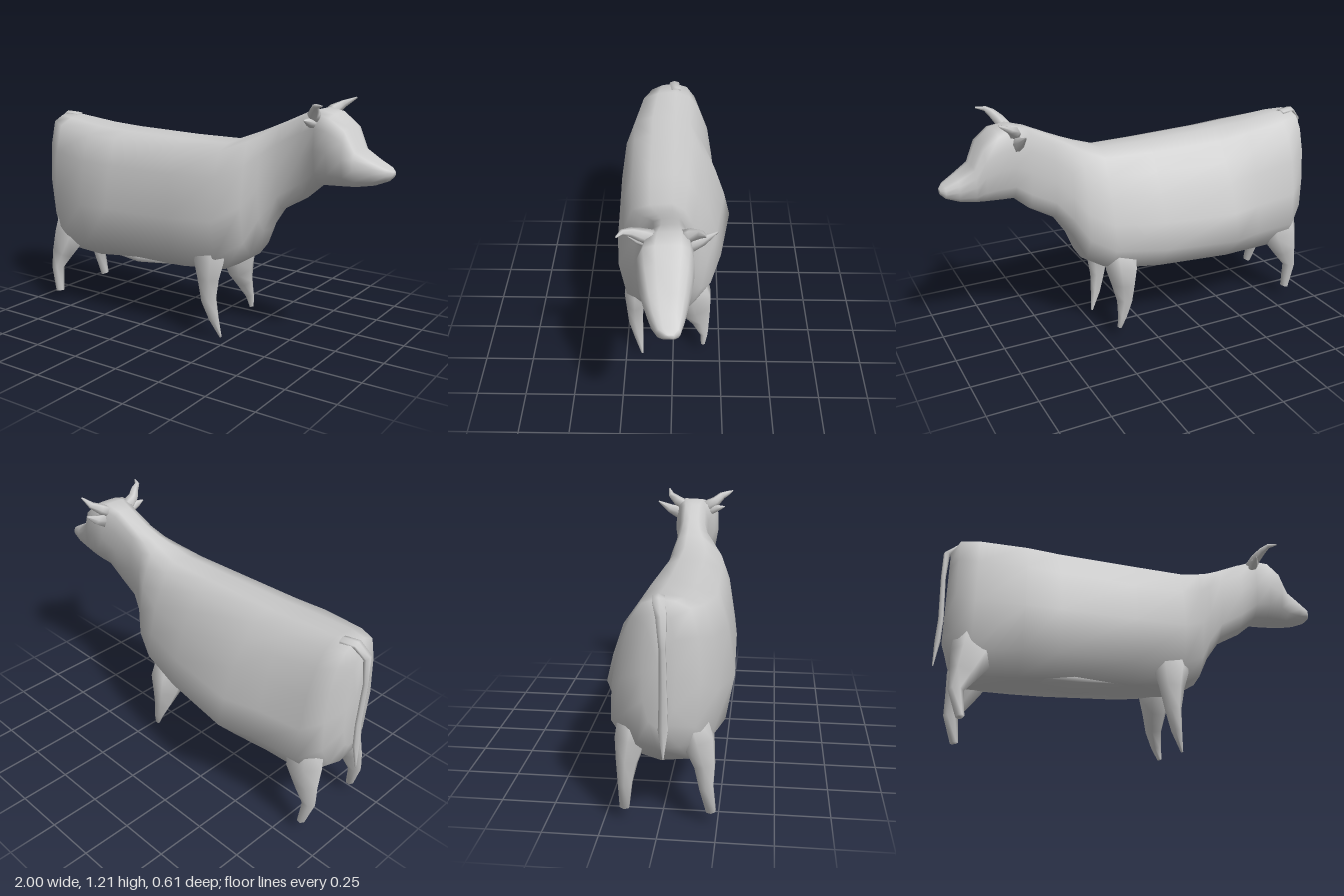
import * as THREE from 'three';

const material = new THREE.MeshStandardMaterial({ color: 0xcccccc, side: THREE.DoubleSide });
const V = (x, y, z) => new THREE.Vector3(x, y, z);

// Skin a list of equal-length rings of points, capping both ends
function loft(name, rings) {
  const n = rings[0].length, index = [], points = rings.flat();
  const at = (i, j) => i * n + (j % n);
  for (let i = 0; i < rings.length - 1; i++)
    for (let j = 0; j < n; j++) {
      const a = at(i, j), b = at(i, j + 1), c = at(i + 1, j + 1), d = at(i + 1, j);
      index.push(a, b, d, b, c, d);
    }
  [0, rings.length - 1].forEach((i, end) => {
    const centre = points.length;
    points.push(rings[i].reduce((s, p) => s.add(p), V(0, 0, 0)).divideScalar(n));
    for (let j = 0; j < n; j++)
      index.push(centre, ...(end ? [at(i, j), at(i, j + 1)] : [at(i, j + 1), at(i, j)]));
  });
  const g = new THREE.BufferGeometry().setFromPoints(points);
  g.setIndex(index);
  g.computeVertexNormals();
  const mesh = new THREE.Mesh(g, material);
  mesh.name = name;
  return mesh;
}

// Tapered limb: each path entry is x, y, z, radius across, radius along ref
function limb(name, path, ref = V(0, 0, 1), sides = 6) {
  const pts = path.map(p => V(p[0], p[1], p[2]));
  return loft(name, path.map((p, i) => {
    const t = pts[Math.min(i + 1, pts.length - 1)].clone().sub(pts[Math.max(i - 1, 0)]).normalize();
    const u = t.clone().cross(ref).normalize(), v = t.clone().cross(u);
    return Array.from({ length: sides }, (_, k) => {
      const a = k / sides * Math.PI * 2;
      return pts[i].clone().addScaledVector(u, Math.cos(a) * p[3]).addScaledVector(v, Math.sin(a) * (p[4] ?? p[3]));
    });
  }));
}

// Cross-section templates (side, height): lopsided trunk and rounder head
const trunk = [[0, 1], [0.4, 0.985], [0.72, 0.94], [0.88, 0.75], [1, 0.43], [0.87, 0.13], [0.5, 0.01],
  [0, 0], [-0.6, 0.06], [-1, 0.25], [-0.89, 0.45], [-0.72, 0.67], [-0.5, 0.81], [-0.3, 0.94]];
const round = [[0, 1], [0.45, 0.99], [0.8, 0.95], [0.98, 0.78], [1, 0.5], [0.88, 0.2], [0.5, 0.04],
  [0, 0], [-0.5, 0.04], [-0.85, 0.22], [-1, 0.5], [-0.98, 0.75], [-0.8, 0.95], [-0.45, 1]];

// Stations from rump to nose: x, top, bottom, +z reach, -z reach, roundness
const stations = [
  [-0.96, 1.0, 0.5, 0.08, 0.06, 0.5],
  [-0.92, 1.04, 0.38, 0.18, 0.16, 0.5],
  [-0.83, 1.035, 0.285, 0.245, 0.225, 0.3],
  [-0.6, 1.01, 0.29, 0.305, 0.245, 0.1],
  [-0.43, 1.0, 0.31, 0.3, 0.307, 0],
  [-0.05, 0.99, 0.32, 0.29, 0.25, 0],
  [0.2, 0.99, 0.345, 0.27, 0.19, 0],
  [0.32, 1.035, 0.42, 0.19, 0.145, 0.2],
  [0.38, 1.06, 0.55, 0.14, 0.1, 0.4],
  [0.46, 1.095, 0.67, 0.105, 0.075, 0.7],
  [0.58, 1.15, 0.74, 0.095, 0.075, 1],
  [0.66, 1.17, 0.81, 0.125, 0.095, 1],
  [0.73, 1.155, 0.815, 0.143, 0.1, 1],
  [0.8, 1.1, 0.82, 0.13, 0.09, 1],
  [0.845, 1.0, 0.825, 0.11, 0.075, 1],
  [0.92, 0.955, 0.84, 0.085, 0.06, 1],
  [0.98, 0.925, 0.865, 0.055, 0.045, 1],
  [1.0, 0.91, 0.885, 0.02, 0.02, 1],
];

export function createModel() {
  const cow = new THREE.Group();
  cow.name = 'cow';

  cow.add(loft('bodyAndHead', stations.map(([x, top, bottom, zp, zm, k]) =>
    trunk.map(([w, h], j) => {
      const s = THREE.MathUtils.lerp(w, round[j][0], k);
      const t = THREE.MathUtils.lerp(h, round[j][1], k);
      return V(x, bottom + t * (top - bottom), s * (s > 0 ? zp : zm));
    }))));

  // Legs, flaring out of the trunk and narrowing to a point
  cow.add(limb('frontLegNear', [[0.13, 0.6, 0.14, 0.1, 0.07], [0.14, 0.4, 0.195, 0.09, 0.062],
    [0.14, 0.31, 0.198, 0.064, 0.05], [0.145, 0.2, 0.197, 0.042, 0.042],
    [0.165, 0.1, 0.182, 0.028, 0.026], [0.195, 0, 0.165, 0.006]]));
  cow.add(limb('frontLegFar', [[0.13, 0.52, -0.06, 0.1, 0.09], [0.14, 0.37, -0.1, 0.085, 0.11],
    [0.14, 0.28, -0.118, 0.06, 0.09], [0.145, 0.2, -0.147, 0.042, 0.052],
    [0.165, 0.12, -0.165, 0.026, 0.022], [0.18, 0.06, -0.16, 0.012]]));
  for (const [name, z0, z1, z2] of [['hindLegNear', 0.12, 0.165, 0.222], ['hindLegFar', -0.1, -0.13, -0.16]])
    cow.add(limb(name, [[-0.79, 0.55, z0, 0.11, 0.08], [-0.815, 0.38, z1, 0.105, 0.075],
      [-0.85, 0.28, (z1 + z2) / 2, 0.068, 0.05], [-0.878, 0.19, (z1 + 2 * z2) / 3, 0.036, 0.034],
      [-0.85, 0.06, z2, 0.02, 0.024]]));

  // Tail arching off the rump and hanging behind it
  cow.add(limb('tail', [[-0.86, 1.03, 0.0, 0.015, 0.03], [-0.93, 1.035, 0.01, 0.016, 0.03],
    [-0.98, 0.985, 0.025, 0.016, 0.025], [-0.985, 0.85, 0.03, 0.012, 0.016],
    [-0.975, 0.62, 0.03, 0.013, 0.02], [-0.98, 0.5, 0.03, 0.014, 0.024], [-0.99, 0.37, 0.03, 0.003]]));

  // Belly fold under the trunk
  cow.add(limb('udder', [[-0.6, 0.33, 0.06, 0.02, 0.08], [-0.33, 0.325, 0.06, 0.04, 0.12],
    [0.06, 0.35, 0.06, 0.02, 0.08]]));

  // Horns curving outward, then forward
  const up = V(0, 1, 0);
  cow.add(limb('hornNear', [[0.65, 1.13, 0.08, 0.035], [0.66, 1.155, 0.13, 0.028],
    [0.685, 1.185, 0.165, 0.02], [0.705, 1.198, 0.2, 0.012], [0.745, 1.203, 0.22, 0.004]], up));
  cow.add(limb('hornFar', [[0.65, 1.13, -0.05, 0.035], [0.66, 1.155, -0.085, 0.028],
    [0.69, 1.18, -0.125, 0.018], [0.745, 1.21, -0.143, 0.004]], up));

  // Flat pointed ears
  cow.add(limb('earNear', [[0.65, 1.1, 0.09, 0.025, 0.025], [0.645, 1.12, 0.14, 0.022, 0.02],
    [0.64, 1.13, 0.182, 0.003]], up));
  cow.add(limb('earFar', [[0.65, 1.09, -0.07, 0.022, 0.04], [0.645, 1.115, -0.13, 0.018, 0.026],
    [0.64, 1.155, -0.195, 0.003]], up));

  return cow;
}
